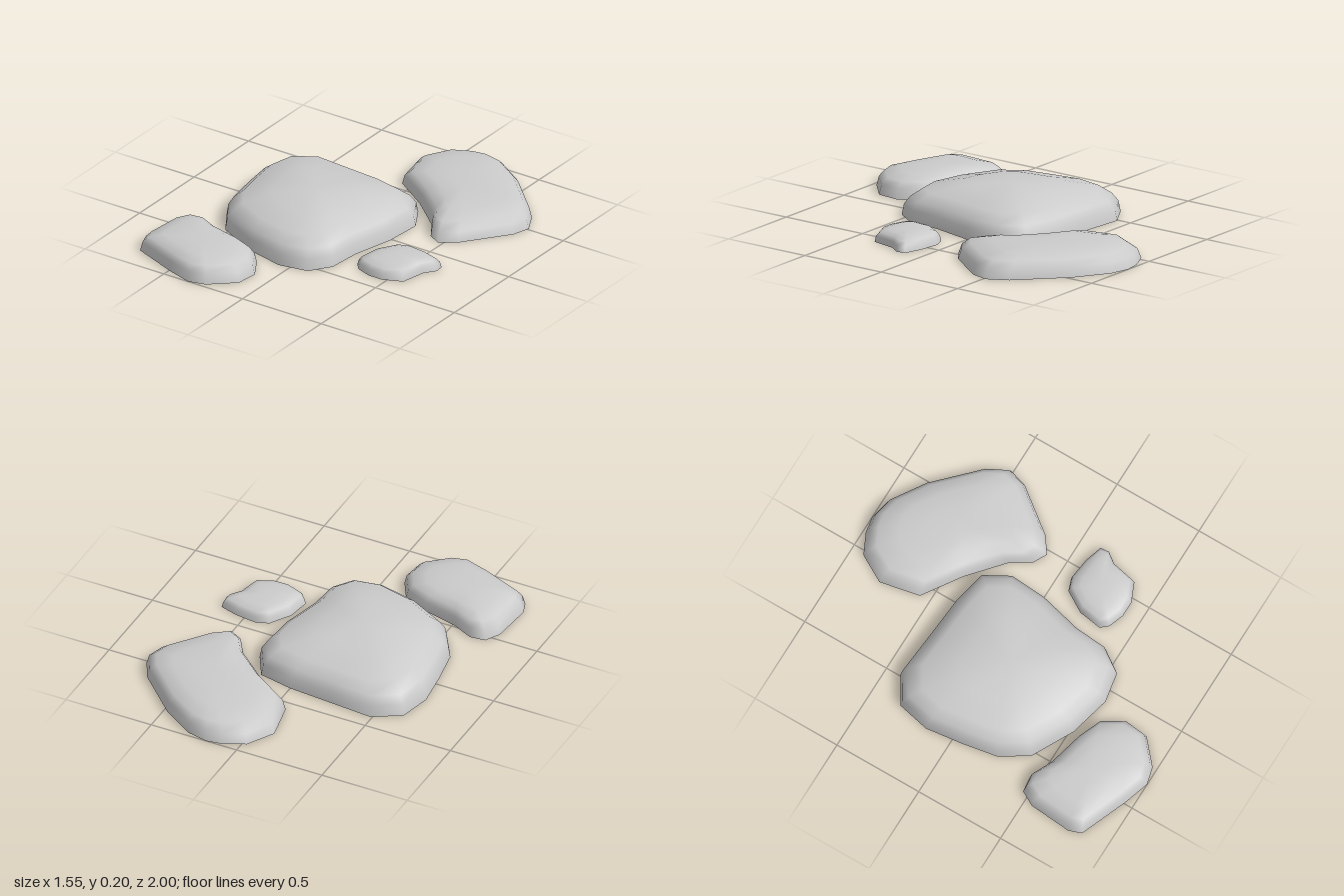
import * as THREE from 'three';

const material = new THREE.MeshStandardMaterial({ color: 0xcccccc, side: THREE.DoubleSide });

// Dome profiles from rim to crown: [outline scale, fraction of height]
const tallDome = [[1, 0], [0.98, 0.3], [0.92, 0.52], [0.8, 0.75], [0.47, 0.93], [0.2, 0.99]];
const lowDome = [[1, 0], [0.96, 0.45], [0.86, 0.75], [0.62, 0.93], [0.3, 0.99]];

// A hollow stone: the ground outline shrinks towards its centre as it rises
function stone(name, height, centre, profile, outline) {
  const [cx, cz] = centre;
  const n = outline.length;
  const positions = [];
  const index = [];
  for (const [s, t] of profile) {
    for (const [x, z] of outline) {
      positions.push(cx + (x - cx) * s, height * t, cz + (z - cz) * s);
    }
  }
  const apex = positions.length / 3;
  positions.push(cx, height, cz);

  for (let r = 0; r < profile.length; r++) {
    for (let i = 0; i < n; i++) {
      const j = (i + 1) % n;
      const low = r * n;
      const up = low + n;
      if (r === profile.length - 1) index.push(apex, low + j, low + i);
      else index.push(up + i, low + j, low + i, up + i, up + j, low + j);
    }
  }
  const geometry = new THREE.BufferGeometry();
  geometry.setAttribute('position', new THREE.Float32BufferAttribute(positions, 3));
  geometry.setIndex(index);
  geometry.computeVertexNormals();
  const mesh = new THREE.Mesh(geometry, material);
  mesh.name = name;
  return mesh;
}

export function createModel() {
  const group = new THREE.Group();
  group.name = 'steppingStones';

  // Outlines are [x, z] points on the ground
  group.add(stone('largeStone', 0.2, [-0.2, 0.07], tallDome, [
    [-0.49, -0.42], [-0.25, -0.4], [0, -0.38], [0.19, -0.34], [0.27, -0.2], [0.255, 0.01],
    [0.195, 0.25], [0.18, 0.43], [0.1, 0.545], [-0.065, 0.575], [-0.295, 0.52], [-0.525, 0.4],
    [-0.62, 0.25], [-0.655, 0.05], [-0.68, -0.15], [-0.64, -0.33],
  ]));

  group.add(stone('backStone', 0.12, [0.34, -0.58], lowDome, [
    [0.18, -1], [0.295, -0.975], [0.48, -0.855], [0.715, -0.625], [0.775, -0.51], [0.745, -0.41],
    [0.565, -0.175], [0.475, -0.11], [0.4, -0.15], [0.33, -0.26], [0.145, -0.42], [-0.065, -0.56],
    [-0.11, -0.78], [-0.025, -0.93], [0.09, -0.985],
  ]));

  group.add(stone('frontStone', 0.115, [-0.45, 0.72], lowDome, [
    [-0.715, 0.465], [-0.63, 0.455], [-0.515, 0.51], [-0.31, 0.56], [-0.175, 0.615], [-0.105, 0.735],
    [-0.12, 0.86], [-0.25, 0.975], [-0.345, 1], [-0.49, 0.955], [-0.755, 0.85], [-0.78, 0.78],
    [-0.76, 0.545],
  ]));

  group.add(stone('smallStone', 0.07, [0.45, 0.23], lowDome, [
    [0.43, 0.065], [0.55, 0.08], [0.65, 0.11], [0.655, 0.16], [0.61, 0.22], [0.58, 0.36],
    [0.475, 0.405], [0.39, 0.405], [0.305, 0.375], [0.27, 0.335], [0.29, 0.205], [0.36, 0.09],
  ]));

  return group;
}
